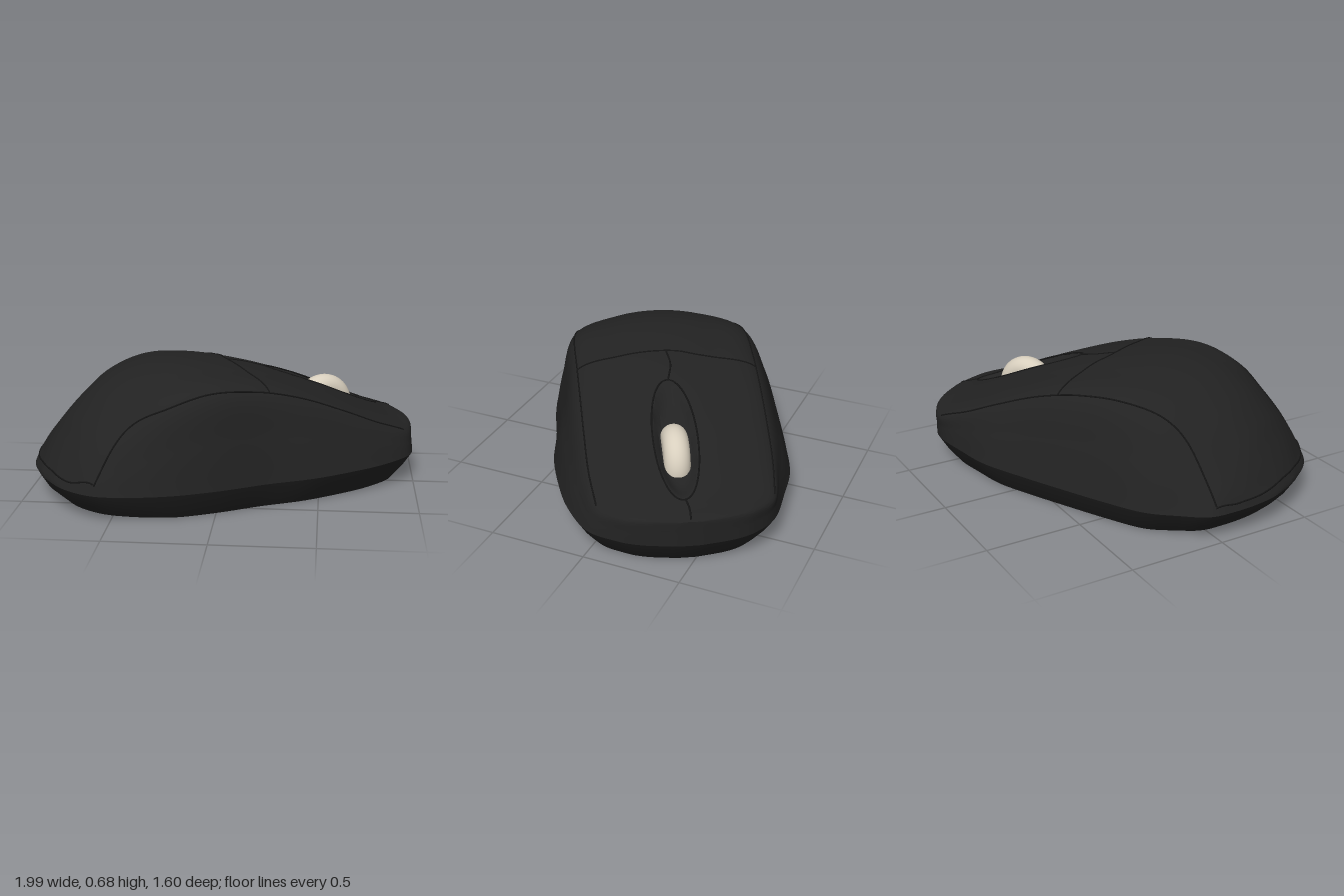
import * as THREE from 'three';
import { toCreasedNormals } from 'three/addons/utils/BufferGeometryUtils.js';

// Stations along the length: [u, left width, right width, shoulder half width, shoulder y, ridge y]
const STATIONS = [
  [-1.02, .03, .03, .02, .16, .165], [-1.0, .19, .19, .12, .175, .195],
  [-.96, .31, .30, .20, .21, .26], [-.9, .43, .39, .29, .26, .345],
  [-.82, .54, .45, .34, .33, .445], [-.69, .60, .51, .385, .43, .56],
  [-.52, .655, .56, .43, .545, .645], [-.3, .655, .585, .465, .605, .685],
  [-.05, .64, .59, .466, .59, .665], [.2, .62, .612, .463, .53, .605],
  [.45, .59, .595, .458, .435, .52], [.65, .52, .56, .45, .35, .435],
  [.85, .435, .48, .425, .275, .35], [.95, .33, .35, .325, .272, .315],
  [1.0, .22, .23, .215, .275, .30], [1.03, .05, .06, .05, .28, .285],
];
const BELT = 0.15;
const WELL = { u: 0.565, v: 0.02, ru: 0.345, rv: 0.11 };
const ROWS = 120, COLS = 96;

const V = (x, y, z) => new THREE.Vector3(x, y, z);
const smooth = (pts) => new THREE.CatmullRomCurve3(pts, false, 'catmullrom', 0.5);
const planCurve = smooth(STATIONS.map((s) => V(s[0], s[1], s[2])));
const topCurve = smooth(STATIONS.map((s) => V(s[3], s[4], s[5])));

// Section of the upper shell at k (0 rear .. 1 front), left belt to right belt
function section(k) {
  const { x: u, y: wL, z: wR } = planCurve.getPoint(k);
  const { x: s, y: ys, z: yr } = topCurve.getPoint(k);
  const half = (w) => [
    [w, BELT], [(s + w) / 2 + 0.12 * (w - s), (ys + BELT) / 2],
    [s, ys], [s * 0.5, yr - 0.22 * (yr - ys)],
  ];
  const left = half(wL).map(([v, y]) => V(u, y, -v));
  const right = half(wR).map(([v, y]) => V(u, y, v)).reverse();
  return new THREE.CatmullRomCurve3([...left, V(u, yr, 0), ...right], false, 'centripetal');
}

// Sink the oval scoop around the wheel
function dip(p) {
  const r2 = ((p.x - WELL.u) / WELL.ru) ** 2 + ((p.z - WELL.v) / WELL.rv) ** 2;
  p.y -= 0.05 * THREE.MathUtils.smoothstep((1 - r2) * 1.5, 0, 1);
  return p;
}

// Point on the upper shell above plan position (u, v)
function onShell(u, v) {
  let a = 0, b = 1;
  for (let i = 0; i < 24; i++) {
    const m = (a + b) / 2;
    if (planCurve.getPoint(m).x < u) a = m; else b = m;
  }
  const curve = section(a);
  let c = 0, d = 1;
  for (let i = 0; i < 24; i++) {
    const m = (c + d) / 2;
    if (curve.getPoint(m).z < v) c = m; else d = m;
  }
  return dip(curve.getPoint(c));
}

// Skin a list of equally long rows of points
function skin(rows) {
  const n = rows[0].length, index = [];
  for (let i = 0; i < rows.length - 1; i++) {
    for (let j = 0; j < n - 1; j++) {
      const a = i * n + j, b = a + n;
      index.push(a, a + 1, b, a + 1, b + 1, b);
    }
  }
  const geo = new THREE.BufferGeometry().setFromPoints(rows.flat());
  geo.setIndex(index);
  return toCreasedNormals(geo, 0.6);
}

// Rows along the length, closed at both ends by a row collapsed onto the centre line
function rowsOf(rowAt) {
  const rows = [];
  for (let i = 0; i <= ROWS; i++) rows.push(rowAt(i / ROWS));
  const flat = (row) => row.map((p) => V(p.x, p.y, 0));
  return [flat(rows[0]), ...rows, flat(rows[ROWS])];
}

export function createModel() {
  const model = new THREE.Group();
  model.name = 'computerMouse';
  const shellMat = new THREE.MeshStandardMaterial({ color: 0x222222 });
  shellMat.name = 'charcoal';
  const seamMat = new THREE.MeshStandardMaterial({ color: 0x141414 });
  seamMat.name = 'seam black';
  const wheelMat = new THREE.MeshStandardMaterial({ color: 0xd8cfbe });
  wheelMat.name = 'ivory';

  const body = new THREE.Group();
  body.name = 'body';
  body.rotation.y = Math.PI / 6;
  model.add(body);
  const add = (name, geo, mat) => {
    const mesh = new THREE.Mesh(geo, mat);
    mesh.name = name;
    body.add(mesh);
    return mesh;
  };

  // Domed upper shell with the wheel scoop
  add('upperShell', skin(rowsOf((k) => {
    const curve = section(k);
    return Array.from({ length: COLS + 1 }, (_, j) => dip(curve.getPoint(j / COLS)));
  })), shellMat);

  // Bevelled base, narrowing from the belt to a flat underside
  add('base', skin(rowsOf((k) => {
    const { x: u, y: wL, z: wR } = planCurve.getPoint(k);
    const foot = 0.008 + 0.02 * THREE.MathUtils.smoothstep(-u, 0.5, 1);
    const rings = [[1, 1, BELT], [0.96, 0.945, 0.085], [0.9, 0.86, foot]];
    const side = (v) => rings.map(([su, sv, y]) => V(u * su, y, v * sv));
    return [...side(wR), ...side(-wL).reverse()];
  })), shellMat);

  // Thin seams lying on the shell
  const seam = (name, plan, closed = false) => {
    const guide = new THREE.CatmullRomCurve3(plan.map(([u, v]) => V(u, 0, v)), closed);
    const pts = guide.getPoints(60).map((p) => onShell(p.x, p.z));
    if (closed) pts.pop();
    const path = new THREE.CatmullRomCurve3(pts, closed);
    add(name, new THREE.TubeGeometry(path, 120, 0.0045, 6, closed), seamMat);
  };
  const shoulder = [[-.52, .43], [-.3, .465], [0, .466], [.2, .463], [.45, .458], [.65, .45], [.84, .427]];
  seam('rightPanelSeam', [[-.88, .385], [-.69, .36], ...shoulder]);
  seam('leftPanelSeam', [[-.83, .5], [-.65, .43], ...shoulder].map(([u, v]) => [u, -v]));
  seam('buttonSeam', [[.07, -.464], [.04, -.17], [.008, -.05], [0, .14], [.02, .463]]);
  seam('rearCentreSeam', [[.005, 0], [.11, -.01], [.22, .015]]);
  seam('frontCentreSeam', [[.91, .01], [.96, 0], [1.02, 0]]);
  seam('rearRimSeam', [[-.83, -.505], [-.9, -.4], [-.96, -.26], [-.99, -.1], [-.995, .05],
    [-.96, .25], [-.88, .38]]);
  seam('wheelWellSeam', Array.from({ length: 24 }, (_, i) => {
    const a = (i / 24) * Math.PI * 2;
    return [WELL.u + WELL.ru * Math.cos(a), WELL.v + WELL.rv * Math.sin(a)];
  }), true);

  // Scroll wheel with a rounded tread
  const profile = [new THREE.Vector2(0, -0.065)];
  for (let i = 0; i <= 14; i++) {
    const a = -Math.PI / 2 + (i / 14) * Math.PI;
    profile.push(new THREE.Vector2(0.105 + 0.065 * Math.cos(a), 0.065 * Math.sin(a)));
  }
  profile.push(new THREE.Vector2(0, 0.065));
  const wheel = add('scrollWheel', new THREE.LatheGeometry(profile, 64), wheelMat);
  wheel.rotation.x = Math.PI / 2;
  wheel.position.set(0.574, 0.35, 0.022);

  return model;
}
